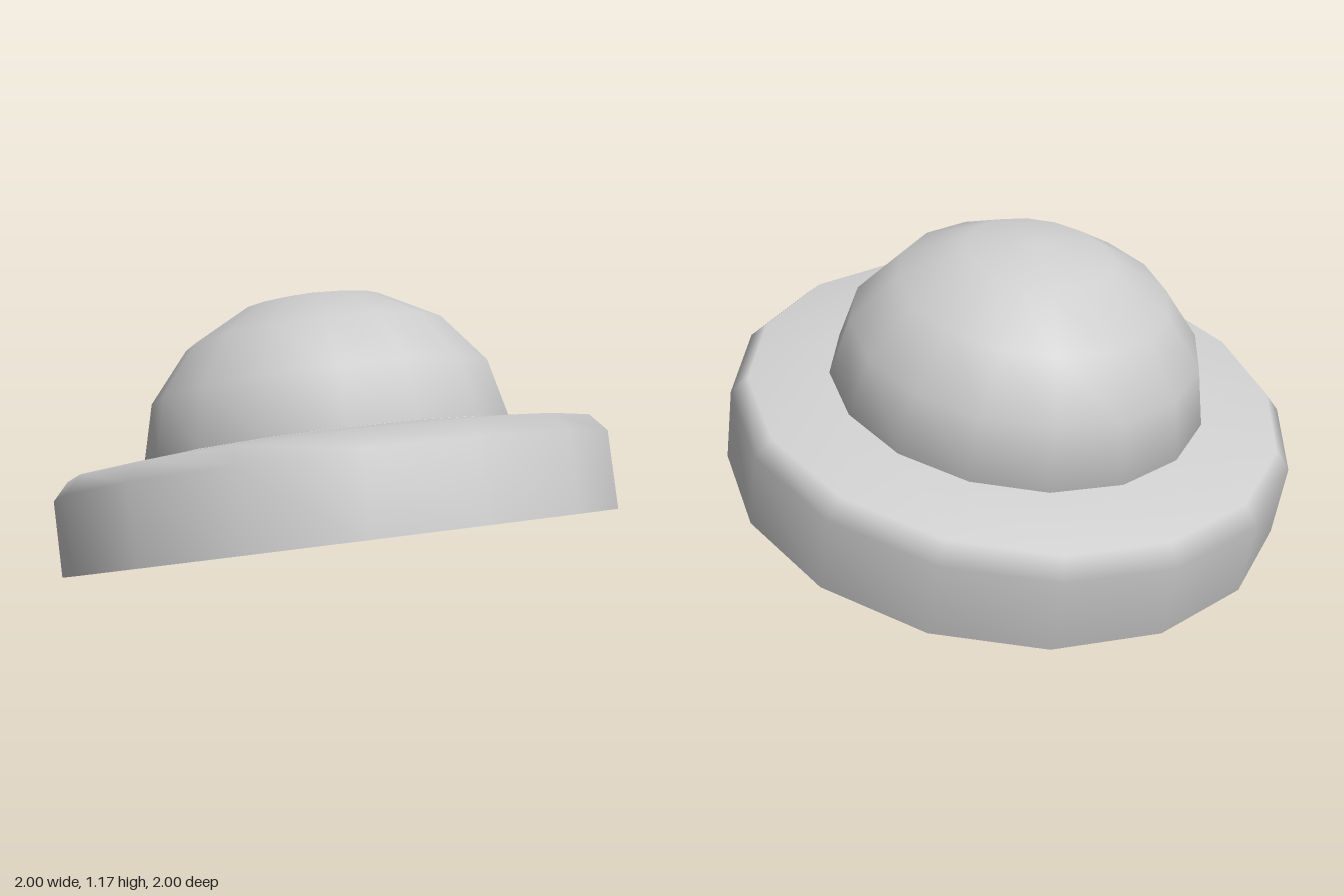
import * as THREE from 'three';

const SIDES = 16;

export function createModel() {
  const model = new THREE.Group();
  model.name = 'tiltedDomedDisc';
  const grey = new THREE.MeshStandardMaterial({ color: 0xcccccc });
  grey.name = 'light grey';

  // Everything leans back around the centre of the underside
  const body = new THREE.Group();
  body.name = 'tiltedBody';
  body.position.set(0, 0.262, 0.034);
  body.rotation.x = -Math.PI / 12;
  model.add(body);

  const add = (name, geometry) => {
    const mesh = new THREE.Mesh(geometry, grey);
    mesh.name = name;
    body.add(mesh);
    return mesh;
  };

  // Disc: upright wall, bevelled rim and a top rising gently to the dome
  const profile = [[1, 0], [1, 0.272], [0.944, 0.335], [0.66, 0.366]];
  add('discRim', new THREE.LatheGeometry(profile.map(([r, y]) => new THREE.Vector2(r, y)), SIDES));

  // Flat underside
  add('discUnderside', new THREE.CircleGeometry(1, SIDES)).rotation.x = Math.PI / 2;

  // Flattened half-sphere dome
  const dome = add('dome', new THREE.SphereGeometry(0.667, SIDES, 4, 0, Math.PI * 2, 0, Math.PI / 2));
  dome.scale.y = 0.825;
  dome.position.y = 0.366;

  return model;
}
